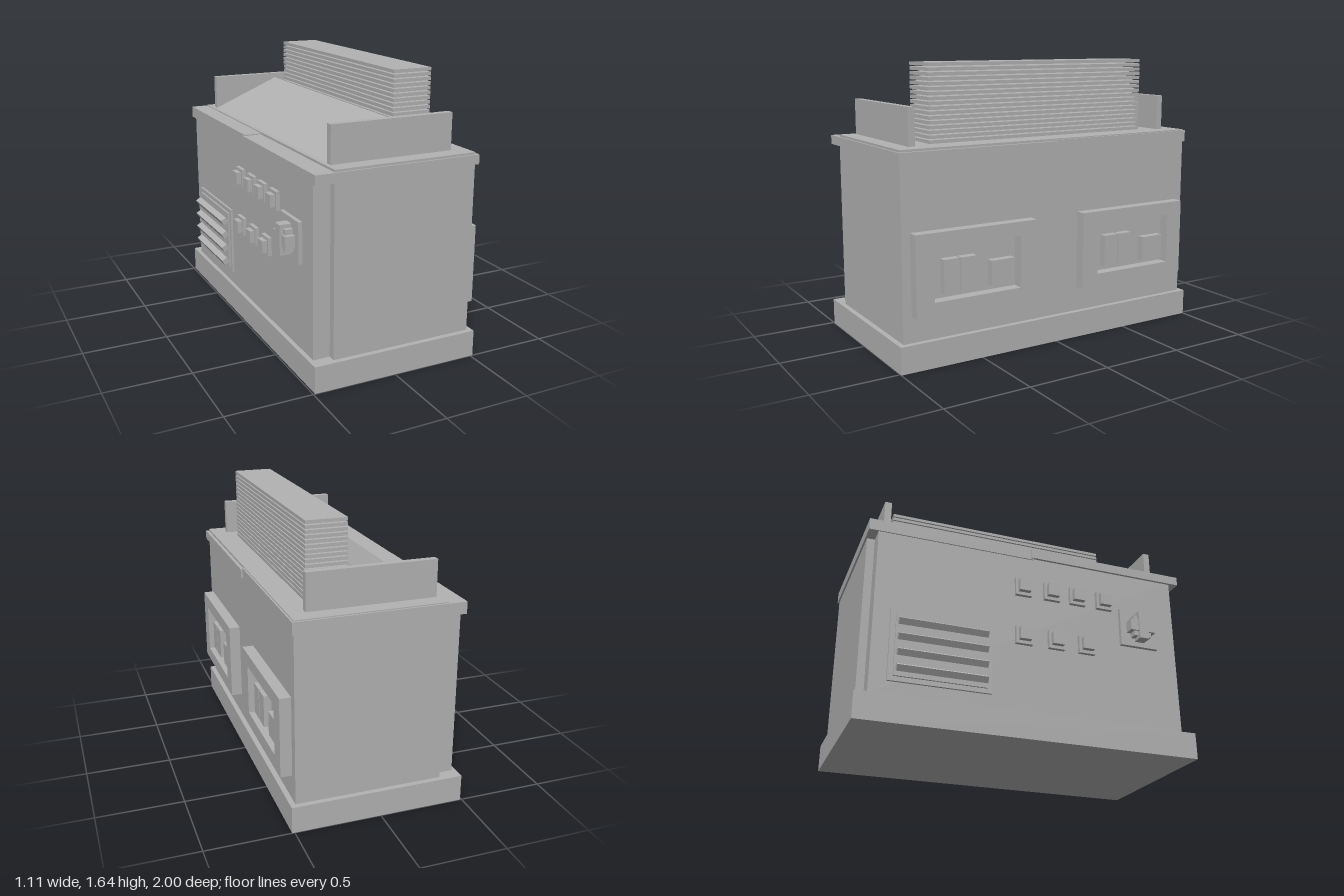
import * as THREE from 'three';

const grey = new THREE.MeshStandardMaterial({ color: 0xb2b2b2 });
grey.name = 'plain grey';

export function createModel() {
  const model = new THREE.Group();
  model.name = 'generatorCabinet';

  // Box given by its limits on each axis
  const box = (name, x0, x1, y0, y1, z0, z1) => {
    const mesh = new THREE.Mesh(new THREE.BoxGeometry(x1 - x0, y1 - y0, z1 - z0), grey);
    mesh.position.set((x0 + x1) / 2, (y0 + y1) / 2, (z0 + z1) / 2);
    mesh.name = name;
    model.add(mesh);
    return mesh;
  };

  // Base, main body and the narrower control side
  box('base', -0.49, 0.515, 0, 0.155, -1, 1);
  box('body', -0.367, 0.485, 0.155, 1.2, -0.97, 0.97);
  box('controlSide', -0.465, -0.36, 0.155, 1.15, -0.925, 0.925);

  // Two overlapping halves of the rim
  box('frontRim', -0.48, 0.505, 1.133, 1.187, -0.005, 0.98);
  box('backRim', -0.472, 0.495, 1.125, 1.194, -0.98, 0.01);

  // Upright end plates on the roof
  for (const s of [-1, 1]) {
    const z = s * 0.855;
    box('endPlate', -0.342, 0.39, 1.2, 1.41, z - 0.02, z + 0.02);
  }

  // Sloping roof panel between the end plates
  const slope = new THREE.Shape([
    new THREE.Vector2(-0.342, 1.2), new THREE.Vector2(-0.295, 1.2),
    new THREE.Vector2(0.094, 1.36), new THREE.Vector2(0.086, 1.38),
  ]);
  const roof = new THREE.Mesh(
    new THREE.ExtrudeGeometry(slope, { depth: 1.67, bevelEnabled: false }), grey);
  roof.position.z = -0.835;
  roof.name = 'slopingRoof';
  model.add(roof);

  // Stack of thin cooling slats
  for (let i = 0; i < 17; i++) {
    const top = 1.636 - i * 0.026;
    box('coolingSlat', 0.108, 0.342, top - 0.019, top, -0.727, 0.727);
  }

  // Framed socket panels on the right side
  for (const dz of [0, -1.08]) {
    const outline = new THREE.Shape([[-0.92, 0.3], [-0.165, 0.3], [-0.165, 0.76], [-0.92, 0.76]]
      .map(([a, y]) => new THREE.Vector2(a - dz, y)));
    outline.holes.push(new THREE.Path([[-0.812, 0.38], [-0.812, 0.68], [-0.272, 0.68], [-0.272, 0.38]]
      .map(([a, y]) => new THREE.Vector2(a - dz, y))));
    const frame = new THREE.Mesh(
      new THREE.ExtrudeGeometry(outline, { depth: 0.065, bevelEnabled: false }), grey);
    frame.rotation.y = Math.PI / 2;
    frame.position.x = 0.485;
    frame.name = 'socketFrame';
    model.add(frame);

    box('tallSwitch', 0.48, 0.53, 0.41, 0.6, 0.65 + dz, 0.745 + dz);
    box('tallSwitch', 0.48, 0.53, 0.41, 0.6, 0.545 + dz, 0.64 + dz);
    box('shortSwitch', 0.48, 0.53, 0.41, 0.555, 0.3 + dz, 0.45 + dz);
  }

  // Two rows of push buttons on backing plates
  const rows = [
    { y: 0.923, zs: [-0.06, 0.118, 0.282, 0.455] },
    { y: 0.615, zs: [-0.06, 0.14, 0.33] },
  ];
  for (const { y, zs } of rows) {
    for (const z of zs) {
      box('buttonPlate', -0.488, -0.46, y - 0.055, y + 0.055, z - 0.05, z + 0.05);
      box('button', -0.517, -0.48, y - 0.036, y + 0.036, z - 0.035, z + 0.035);
    }
  }

  // Main rotary switch: plate, hub and crossed grips
  box('switchPlate', -0.488, -0.46, 0.655, 0.89, 0.555, 0.795);
  box('switchHub', -0.535, -0.48, 0.705, 0.835, 0.62, 0.73);
  box('switchBar', -0.545, -0.48, 0.735, 0.805, 0.595, 0.755);
  box('switchGrip', -0.555, -0.48, 0.685, 0.857, 0.645, 0.705);

  // Vent with tilted louvres
  box('ventPlate', -0.478, -0.46, 0.235, 0.655, -0.83, -0.25);
  box('ventInner', -0.488, -0.46, 0.262, 0.628, -0.8, -0.275);
  for (let i = 0; i < 4; i++) {
    const y = 0.303 + i * 0.09;
    const louvre = box('ventLouvre', -0.526, -0.488, y - 0.018, y + 0.018, -0.79, -0.285);
    louvre.rotation.z = Math.PI / 6;
  }

  return model;
}
